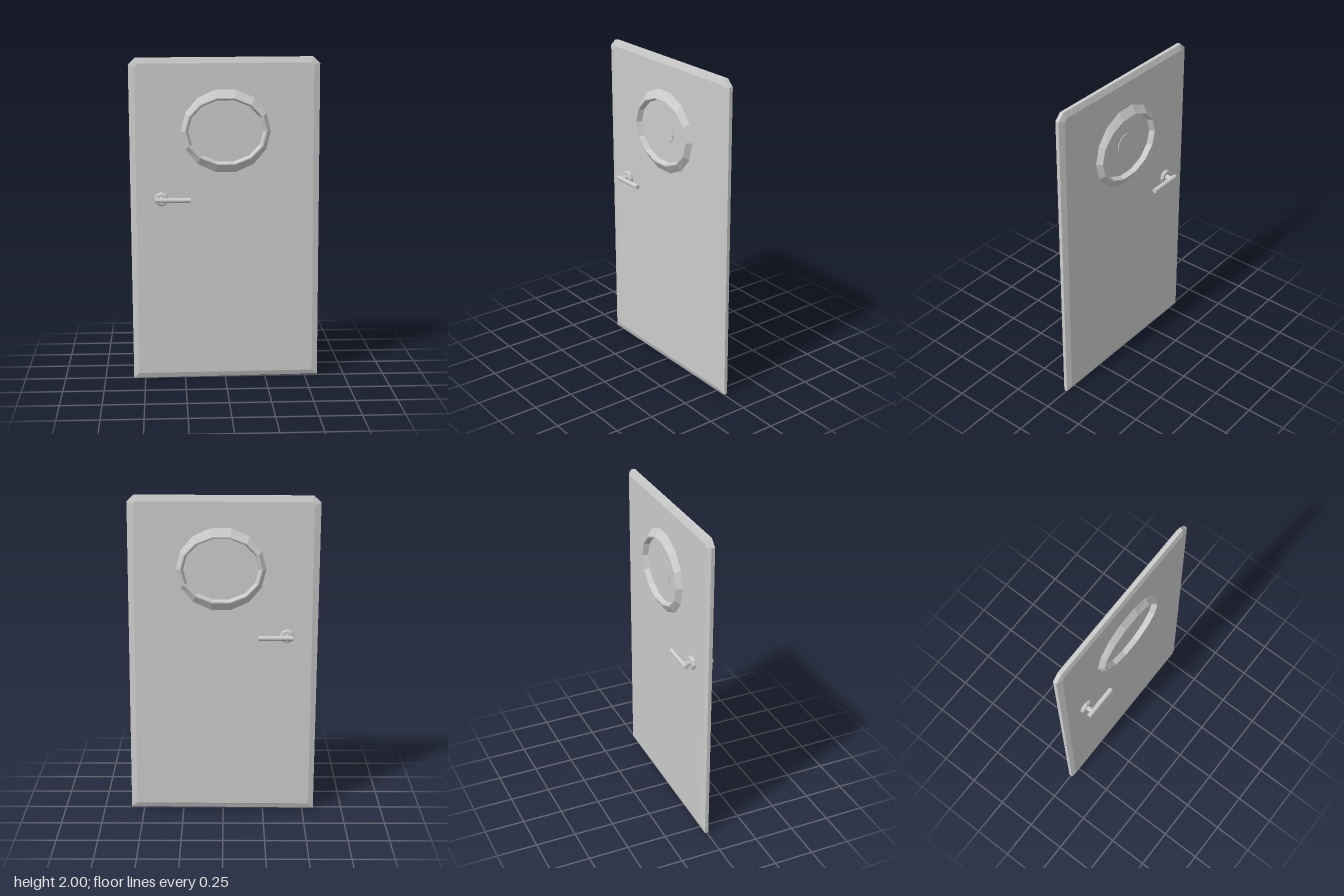
import * as THREE from 'three';

const material = new THREE.MeshStandardMaterial({ color: 0xcccccc, flatShading: true });
const smooth = new THREE.MeshStandardMaterial({ color: 0xcccccc });

function part(name, geometry, mat = material) {
  const mesh = new THREE.Mesh(geometry, mat);
  mesh.name = name;
  return mesh;
}

// Skin between counter-clockwise loops of [x, y, z]; optional flat end caps
function loft(loops, caps) {
  const n = loops[0].length, index = [];
  for (let k = 0; k < loops.length - 1; k++) {
    for (let i = 0; i < n; i++) {
      const j = (i + 1) % n;
      const a = k * n + i, b = k * n + j, c = b + n, d = a + n;
      index.push(a, b, c, a, c, d);
    }
  }
  if (caps) {
    const last = (loops.length - 1) * n;
    for (let i = 1; i < n - 1; i++) {
      index.push(0, i + 1, i, last, last + i, last + i + 1);
    }
  }
  const g = new THREE.BufferGeometry();
  g.setAttribute('position', new THREE.Float32BufferAttribute(loops.flat(2), 3));
  g.setIndex(index);
  const flat = g.toNonIndexed();
  flat.computeVertexNormals();
  return flat;
}

// Slightly crooked door slab with clipped top corners and bevelled rims
function doorSlab() {
  const outer = [[-0.572, 0], [0.58, 0.01], [0.572, 1.96], [0.53, 2], [-0.54, 1.995], [-0.583, 1.955]];
  const inner = [[-0.54, 0.035], [0.545, 0.04], [0.535, 1.95], [0.52, 1.965], [-0.525, 1.96], [-0.545, 1.94]];
  const at = (pts, z) => pts.map(([x, y]) => [x, y, z]);
  return loft([at(inner, -0.025), at(outer, -0.012), at(outer, 0.01), at(inner, 0.022)], true);
}

// Faceted porthole frame, sloping outside and a steeper inner wall
function portholeFrame() {
  const sides = 14;
  const ellipse = (rx, ry, z) => Array.from({ length: sides }, (_, i) => {
    const t = (i / sides) * Math.PI * 2;
    return [rx * Math.cos(t), ry * Math.sin(t), z];
  });
  const base = ellipse(0.272, 0.257, 0.035);
  return loft([base, ellipse(0.25, 0.207, 0.067), ellipse(0.242, 0.2, 0.067),
    ellipse(0.228, 0.19, 0.035), base], false);
}

// Rosette, stem and lever for one side of the door (s = 1 front, -1 back)
function handle(s) {
  const g = new THREE.Group();
  g.name = s > 0 ? 'frontHandle' : 'backHandle';
  g.position.set(-0.39, 1.14, 0);

  const profile = [[0, 0.015], [0.044, 0.015], [0.044, 0.034], [0.034, 0.042], [0, 0.042]];
  const rosette = new THREE.LatheGeometry(profile.map(([r, y]) => new THREE.Vector2(r, y)), 8);
  g.add(part('rosette', rosette.rotateX(s * Math.PI / 2)));

  const stem = new THREE.CylinderGeometry(0.016, 0.016, 0.05, 12);
  stem.rotateX(Math.PI / 2).translate(0, 0, s * 0.057);
  g.add(part('stem', stem, smooth));

  const lever = new THREE.CylinderGeometry(0.015, 0.015, 0.212, 12);
  lever.rotateZ(Math.PI / 2).translate(0.07, 0, s * 0.08);
  g.add(part('lever', lever, smooth));
  return g;
}

export function createModel() {
  const door = new THREE.Group();
  door.name = 'door';
  door.add(part('doorSlab', doorSlab()));

  // Porthole frames on both faces, standing just clear of the slab
  const front = part('frontPortholeFrame', portholeFrame());
  front.position.set(0.002, 1.556, 0);
  const back = part('backPortholeFrame', portholeFrame());
  back.position.set(0.012, 1.556, 0.004);
  back.rotation.y = Math.PI;
  door.add(front, back);

  // Shallow round plate through the slab
  const plate = new THREE.CylinderGeometry(0.075, 0.075, 0.056, 20).rotateX(Math.PI / 2);
  const window = part('centrePlate', plate, smooth);
  window.position.set(0.002, 1.555, -0.001);
  door.add(window);

  for (const s of [1, -1]) door.add(handle(s));
  return door;
}
